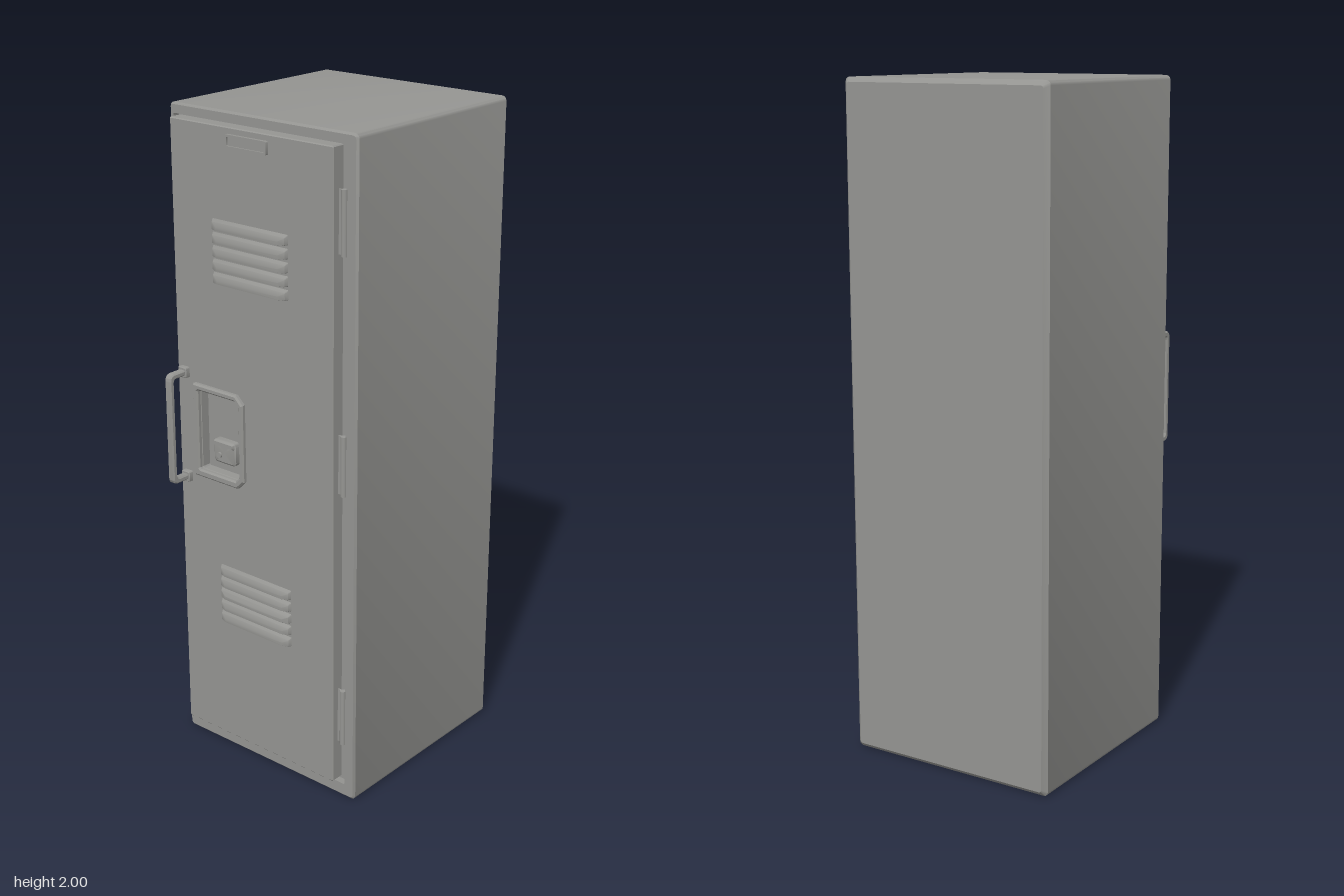
import * as THREE from 'three';
import { toCreasedNormals } from 'three/addons/utils/BufferGeometryUtils.js';

const DOOR_FRONT = 0.311;

// One rounded rectangle cross-section, counter-clockwise seen from +z
function ring([x0, x1, y0, y1, r, z]) {
  const corners = [[x1 - r, y0 + r], [x1 - r, y1 - r], [x0 + r, y1 - r], [x0 + r, y0 + r]];
  const points = [];
  corners.forEach(([cx, cy], k) => {
    for (let i = 0; i <= 3; i++) {
      const a = (k - 1 + i / 3) * Math.PI / 2;
      points.push([cx + r * Math.cos(a), cy + r * Math.sin(a), z]);
    }
  });
  return points;
}

// Skin a run of rectangular sections and close both ends
function loft(sections) {
  const middle = ([x0, x1, y0, y1, , z]) => {
    const x = (x0 + x1) / 2, y = (y0 + y1) / 2;
    return [x, x, y, y, 0, z];
  };
  const rings = [middle(sections[0]), ...sections, middle(sections.at(-1))].map(ring);
  const pos = [];
  for (let s = 0; s + 1 < rings.length; s++) {
    const a = rings[s], b = rings[s + 1], n = a.length;
    for (let i = 0; i < n; i++) {
      const j = (i + 1) % n;
      pos.push(...a[i], ...a[j], ...b[j], ...a[i], ...b[j], ...b[i]);
    }
  }
  const geo = new THREE.BufferGeometry();
  geo.setAttribute('position', new THREE.Float32BufferAttribute(pos, 3));
  return toCreasedNormals(geo, 0.6);
}

// Rectangle with chamfers: cl on the left corners, cr on the right ones
function chamfered(x0, x1, y0, y1, cl, cr, Type = THREE.Shape) {
  return new Type([
    [x0 + cl, y0], [x1 - cr, y0], [x1, y0 + cr], [x1, y1 - cr],
    [x1 - cr, y1], [x0 + cl, y1], [x0, y1 - cl], [x0, y0 + cl],
  ].map(([x, y]) => new THREE.Vector2(x, y)));
}

// Extrude between two z positions with a small edge bevel
function plate(shape, z0, z1, bevel) {
  return new THREE.ExtrudeGeometry(shape, {
    depth: z1 - z0 - 2 * bevel, bevelEnabled: true, bevelSegments: 1,
    bevelThickness: bevel, bevelSize: bevel, bevelOffset: -bevel,
  }).translate(0, 0, z0 + bevel);
}

export function createModel() {
  const model = new THREE.Group();
  const metal = new THREE.MeshStandardMaterial({ color: 0x959592 });
  metal.name = 'grey metal';
  const add = (name, geometry, parent = model) => {
    const mesh = new THREE.Mesh(geometry, metal);
    mesh.name = name;
    parent.add(mesh);
    return mesh;
  };
  const addGroup = (name) => {
    const group = new THREE.Group();
    group.name = name;
    model.add(group);
    return group;
  };

  // Cabinet with bevelled edges and a shallow door opening
  const W = 0.338;
  add('cabinet', loft([
    [-W + 0.014, W - 0.014, 0.014, 1.986, 0.008, -0.387],
    [-W, W, 0, 2, 0.014, -0.373],
    [-W, W, 0, 2, 0.014, 0.284],
    [-W + 0.006, W - 0.006, 0.006, 1.994, 0.01, 0.29],
    [-0.322, 0.301, 0.042, 1.97, 0.004, 0.29],
    [-0.322, 0.301, 0.042, 1.97, 0.004, 0.268],
  ]));

  // Door panel with an opening for the latch pocket
  const door = chamfered(-0.318, 0.273, 0.05, 1.963, 0.003, 0.003);
  door.holes.push(chamfered(-0.229, -0.071, 0.931, 1.179, 0.004, 0.014, THREE.Path));
  add('door', plate(door, 0.267, DOOR_FRONT, 0.003));

  // Hinges on the model's left edge
  const hinges = addGroup('hinges');
  for (const y of [0.27, 1.07, 1.76]) {
    const knuckle = add('hingeKnuckle', new THREE.CylinderGeometry(0.009, 0.009, 0.18, 12), hinges);
    knuckle.position.set(0.294, y, 0.29);
    const leaf = add('hingeLeaf', new THREE.BoxGeometry(0.022, 0.176, 0.004), hinges);
    leaf.position.set(0.279, y, 0.286);
  }

  // Two banks of sloping vent hoods
  const vents = addGroup('vents');
  for (const top of [1.703, 0.637]) {
    for (let i = 0; i < 5; i++) {
      const y = top - i * 0.0385;
      add('ventHood', loft([
        [-0.164, 0.116, y - 0.031, y, 0.003, DOOR_FRONT - 0.002],
        [-0.158, 0.11, y - 0.031, y - 0.009, 0.002, 0.32],
        [-0.138, 0.09, y - 0.031, y - 0.02, 0.001, 0.327],
      ]), vents);
    }
  }

  // Label holder with a sunken face
  add('labelHolder', loft([
    [-0.1, 0.048, 1.908, 1.945, 0.003, DOOR_FRONT - 0.002],
    [-0.1, 0.048, 1.908, 1.945, 0.003, 0.321],
    [-0.094, 0.042, 1.914, 1.939, 0.002, 0.321],
    [-0.094, 0.042, 1.914, 1.939, 0.002, 0.316],
  ]));

  // Latch: raised rim, sunken pocket floor and lock
  const latch = addGroup('latch');
  const rim = chamfered(-0.25, -0.053, 0.908, 1.198, 0.004, 0.026);
  rim.holes.push(chamfered(-0.229, -0.071, 0.931, 1.179, 0.004, 0.014, THREE.Path));
  add('latchRim', plate(rim, DOOR_FRONT - 0.004, 0.326, 0.005), latch);
  add('pocketFloor', new THREE.BoxGeometry(0.18, 0.27, 0.008), latch)
    .position.set(-0.15, 1.055, 0.276);
  add('lockPlate', loft([
    [-0.193, -0.107, 0.96, 1.033, 0.012, 0.278],
    [-0.193, -0.107, 0.96, 1.033, 0.012, 0.296],
    [-0.188, -0.112, 0.965, 1.028, 0.01, 0.3],
  ]), latch);
  add('lockLip', loft([
    [-0.19, -0.11, 1.013, 1.031, 0.003, 0.298],
    [-0.186, -0.114, 1.016, 1.028, 0.002, 0.307],
  ]), latch);
  const keyhole = add('lockCylinder', new THREE.CylinderGeometry(0.009, 0.009, 0.012, 16), latch);
  keyhole.rotation.x = Math.PI / 2;
  keyhole.position.set(-0.168, 0.985, 0.3);

  // Pull handle: a bent bar drawn from the side, then turned to face front
  const handle = addGroup('pullHandle');
  const bar = new THREE.Shape();
  bar.moveTo(0.308, 0.885);
  bar.lineTo(0.367, 0.885);
  bar.quadraticCurveTo(0.387, 0.885, 0.387, 0.907);
  bar.lineTo(0.387, 1.208);
  bar.quadraticCurveTo(0.387, 1.23, 0.367, 1.23);
  bar.lineTo(0.308, 1.23);
  bar.lineTo(0.308, 1.213);
  bar.lineTo(0.36, 1.213);
  bar.quadraticCurveTo(0.37, 1.213, 0.37, 1.202);
  bar.lineTo(0.37, 0.913);
  bar.quadraticCurveTo(0.37, 0.902, 0.36, 0.902);
  bar.lineTo(0.308, 0.902);
  bar.closePath();
  const barGeometry = plate(bar, -0.012, 0.012, 0.004).rotateY(-Math.PI / 2);
  add('handleBar', toCreasedNormals(barGeometry, 0.6), handle).position.x = -0.287;
  for (const y of [0.893, 1.222]) {
    add('handleFoot', loft([
      [-0.303, -0.271, y - 0.016, y + 0.016, 0.004, DOOR_FRONT - 0.002],
      [-0.303, -0.271, y - 0.016, y + 0.016, 0.004, 0.325],
      [-0.301, -0.273, y - 0.014, y + 0.014, 0.003, 0.327],
    ]), handle);
  }

  return model;
}
